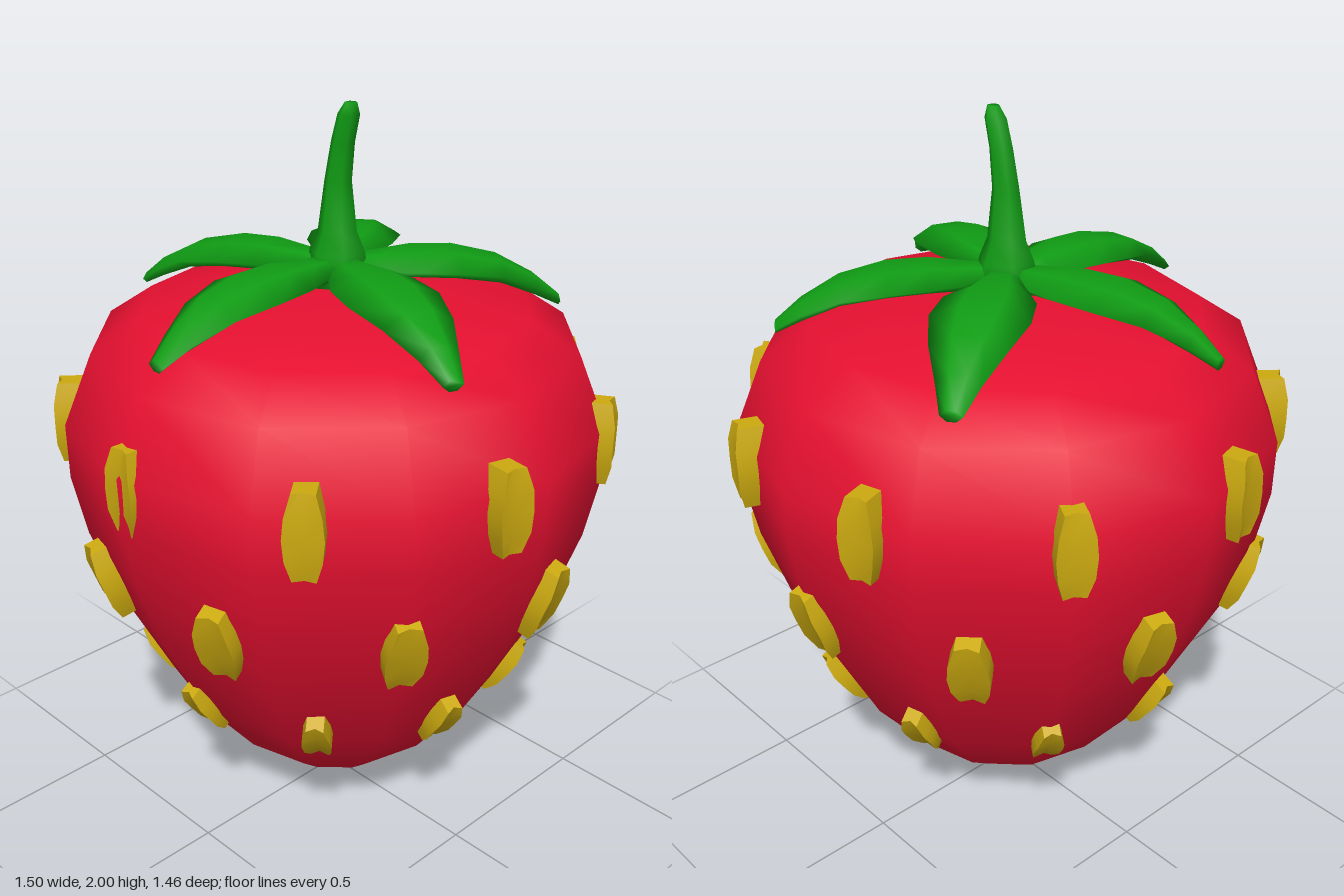
import * as THREE from 'three';

const red = new THREE.MeshStandardMaterial({ color: 0xe51030 });
red.name = 'berryRed';
const green = new THREE.MeshStandardMaterial({ color: 0x109c14 });
green.name = 'leafGreen';
const yellow = new THREE.MeshStandardMaterial({ color: 0xccaa10 });
yellow.name = 'seedYellow';

// Skins a closed, capped solid over rings of [x, y, z] points with equal counts.
function loft(rings) {
  const n = rings[0].length, index = [];
  for (let i = 0; i < rings.length - 1; i++) {
    for (let j = 0; j < n; j++) {
      const a = i * n + j, b = i * n + (j + 1) % n;
      index.push(a, b, a + n, b, b + n, a + n);
    }
  }
  const last = (rings.length - 1) * n;
  for (let j = 1; j < n - 1; j++) {
    index.push(0, j + 1, j, last, last + j, last + j + 1);
  }
  const g = new THREE.BufferGeometry();
  g.setAttribute('position', new THREE.Float32BufferAttribute(rings.flat(2), 3));
  g.setIndex(index);
  g.computeVertexNormals();
  return g;
}

// Leaf running along +z: arched, widest near the middle, blunt at the tip.
function leafGeometry() {
  // distance, height, half width, half thickness
  const stations = [
    [0.0, 1.57, 0.05, 0.03], [0.1, 1.575, 0.075, 0.03], [0.2, 1.58, 0.118, 0.032],
    [0.31, 1.574, 0.126, 0.033], [0.43, 1.55, 0.096, 0.03], [0.53, 1.502, 0.055, 0.025],
    [0.6, 1.456, 0.028, 0.014],
  ];
  return loft(stations.map(([z, y, w, t]) => [
    [w, y, z], [w * 0.4, y + t, z], [-w * 0.4, y + t, z],
    [-w, y, z], [-w * 0.4, y - t, z], [w * 0.4, y - t, z],
  ]));
}

// Six-sided stem, flared at the base and bending to the left at the top.
function stemGeometry() {
  const stations = [
    [0, 1.53, 0.085], [0, 1.615, 0.075], [0, 1.67, 0.052], [0.003, 1.8, 0.036],
    [0.02, 1.9, 0.031], [0.04, 1.97, 0.029], [0.048, 2.0, 0.016],
  ];
  return loft(stations.map(([x, y, r]) => Array.from({ length: 6 }, (_, j) => {
    const a = (j + 0.5) * Math.PI / 3;
    return [x + r * Math.cos(a), y, -r * Math.sin(a)];
  })));
}

// Seed: a block narrowed at both ends, with a shallow groove down its face.
function seedGeometry(width, height) {
  const g = new THREE.BoxGeometry(width, height, 0.1, 2, 4, 1);
  g.translate(0, 0, -0.05);
  const p = g.attributes.position;
  for (let i = 0; i < p.count; i++) {
    const e = Math.abs(p.getY(i)) / (height / 2);
    if (p.getZ(i) > -0.01) {
      const groove = Math.abs(p.getX(i)) < 0.001 ? 0.01 : 0;
      p.setZ(i, -groove - (e > 0.9 ? 0.012 : 0));
    }
    p.setX(i, p.getX(i) * (1 - 0.42 * e * e));
  }
  g.computeVertexNormals();
  return g;
}

export function createModel() {
  const model = new THREE.Group();
  model.name = 'strawberry';

  // Twelve-sided fruit
  const profile = [
    [0, 0.005], [0.085, 0.03], [0.2, 0.11], [0.33, 0.22], [0.48, 0.41], [0.62, 0.68], [0.69, 0.88],
    [0.725, 1.05], [0.727, 1.2], [0.648, 1.39], [0.52, 1.475], [0.3, 1.52], [0, 1.535],
  ].map(([x, y]) => new THREE.Vector2(x, y));
  const fruit = new THREE.Mesh(new THREE.LatheGeometry(profile, 12), red);
  fruit.name = 'fruit';
  fruit.position.z = -0.01;
  model.add(fruit);

  // Three rings of nine seeds
  const rows = [
    { y: 1.165, r: 0.752, tilt: 0, turn: 0, w: 0.1, h: 0.225 },
    { y: 0.785, r: 0.69, tilt: 0.34, turn: 20, w: 0.108, h: 0.22 },
    { y: 0.42, r: 0.515, tilt: 0.62, turn: 0, w: 0.08, h: 0.185 },
  ];
  const seeds = new THREE.Group();
  seeds.name = 'seeds';
  seeds.position.z = -0.01;
  rows.forEach((row, k) => {
    const geometry = seedGeometry(row.w, row.h);
    for (let i = 0; i < 9; i++) {
      const angle = THREE.MathUtils.degToRad(row.turn + i * 40);
      // The front seed of the top ring is sunk so only its rims show
      const r = k === 0 && i === 0 ? row.r - 0.02 : row.r;
      const seed = new THREE.Mesh(geometry, yellow);
      seed.name = 'seed';
      seed.position.set(Math.sin(angle) * r, row.y, Math.cos(angle) * r);
      seed.rotation.set(row.tilt, angle, 0, 'YXZ');
      seeds.add(seed);
    }
  });
  model.add(seeds);

  // Five leaves around the stem
  const crown = new THREE.Group();
  crown.name = 'crown';
  crown.position.z = -0.015;
  const leafShape = leafGeometry();
  for (let i = 0; i < 5; i++) {
    const leaf = new THREE.Mesh(leafShape, green);
    leaf.name = 'leaf';
    leaf.rotation.y = i * Math.PI * 2 / 5;
    crown.add(leaf);
  }
  const stem = new THREE.Mesh(stemGeometry(), green);
  stem.name = 'stem';
  crown.add(stem);
  model.add(crown);

  return model;
}
